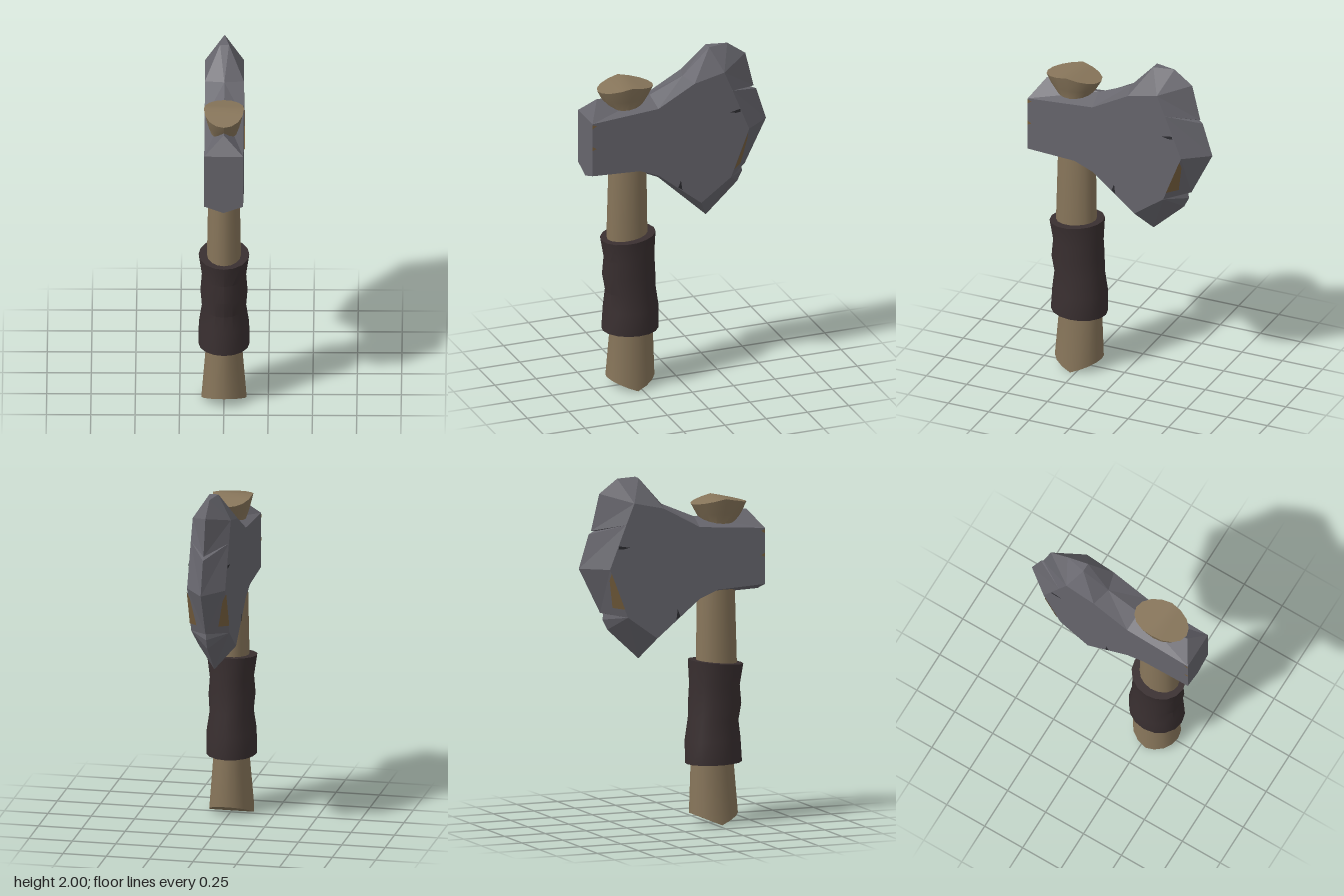
import * as THREE from 'three';
import { toCreasedNormals } from 'three/addons/utils/BufferGeometryUtils.js';

const mat = (name, color, side = THREE.FrontSide) => {
  const m = new THREE.MeshStandardMaterial({ color, side });
  m.name = name;
  return m;
};

// Stack of elliptical rings [y, centreZ, radiusX, radiusZ, roof, tilt], capped at both ends
function ringTube(rings, n = 16) {
  const pos = [], idx = [];
  for (const [y, cz, rx, rz, roof = 0, tilt = 0] of rings) {
    for (let j = 0; j < n; j++) {
      const a = (j / n) * Math.PI * 2, dz = rz * Math.sin(a);
      pos.push(rx * Math.cos(a), y + roof * Math.abs(dz) + tilt * dz, cz + dz);
    }
  }
  for (let i = 0; i < rings.length - 1; i++) {
    for (let j = 0; j < n; j++) {
      const a = i * n + j, b = i * n + ((j + 1) % n);
      idx.push(a, a + n, b, b, a + n, b + n);
    }
  }
  // caps as strips running across x, so a roofed end keeps its straight ridge
  const top = (rings.length - 1) * n;
  for (let i = -n / 4; i < n / 4; i++) {
    const p = (i + n) % n, p2 = (i + 1 + n) % n, q = n / 2 - i, q2 = n / 2 - i - 1;
    for (const [a, b, c] of [[p, q, p2], [p2, q, q2]]) {
      if (a === b || b === c || a === c) continue;
      idx.push(top + a, top + b, top + c, a, c, b);
    }
  }
  const g = new THREE.BufferGeometry();
  g.setAttribute('position', new THREE.Float32BufferAttribute(pos, 3));
  g.setIndex(idx);
  return toCreasedNormals(g, 0.5);
}

// Head outline: flat cheek point [z, y] paired with rim point [z, y, halfWidth]
const HALF = 0.11;
const OUTLINE = [
  [[0.55, 1.68], [0.48, 1.78, 0]],
  [[0.15, 1.71], [0.16, 1.755, 0]],
  [[-0.07, 1.83], [-0.04, 1.84, 0]],
  [[-0.25, 1.87], [-0.19, 2, 0.025]],
  [[-0.25, 1.87], [-0.31, 2, 0]],
  [[-0.25, 1.87], [-0.42, 1.92, 0]],
  // upper nick in the cutting edge
  [[-0.3, 1.75], [-0.47, 1.712, 0]],
  [[-0.3, 1.75], [-0.445, 1.708, 0]],
  [[-0.3, 1.75], [-0.485, 1.692, 0]],
  [[-0.4, 1.5], [-0.545, 1.5, 0]],
  // lower nick
  [[-0.29, 1.22], [-0.415, 1.24, 0]],
  [[-0.29, 1.22], [-0.395, 1.235, 0]],
  [[-0.29, 1.22], [-0.4, 1.2, 0]],
  [[-0.29, 1.22], [-0.37, 1.14, 0]],
  [[-0.11, 1.09], [-0.18, 0.965, 0]],
  [[0.15, 1.3], [0.11, 1.24, 0]],
  [[0.26, 1.345], [0.26, 1.31, 0]],
  [[0.55, 1.36], [0.55, 1.32, 0]],
  // blunt front face
  [[0.55, 1.36], [0.55, 1.36, HALF]],
  [[0.55, 1.68], [0.55, 1.68, HALF]],
];

function headGeometry() {
  const pos = [], ab = new THREE.Vector3(), ac = new THREE.Vector3();
  // adds a triangle turned so that its normal points along dir
  const tri = (a, b, c, dir) => {
    ab.subVectors(b, a).cross(ac.subVectors(c, a));
    if (ab.length() < 1e-7) return;
    for (const p of ab.dot(dir) > 0 ? [a, b, c] : [a, c, b]) pos.push(p.x, p.y, p.z);
  };
  const rim = (i, s) => {
    const [z, y, x] = OUTLINE[i][1];
    return new THREE.Vector3(s * x, y, z);
  };
  const cheek = (i, s) => new THREE.Vector3(s * HALF, OUTLINE[i][0][1], OUTLINE[i][0][0]);
  const n = OUTLINE.length, frontUp = new THREE.Vector3(0, 1, 1);
  // distinct cheek corners for the flat side
  const keep = [...Array(n).keys()].filter((i) => i < 18 && (i === 0 || cheek(i, 1).distanceTo(cheek(i - 1, 1)) > 1e-4));
  const flat = keep.map((i) => new THREE.Vector2(...OUTLINE[i][0]));
  const faces = THREE.ShapeUtils.triangulateShape(flat, []);
  for (const s of [1, -1]) {
    const out = new THREE.Vector3(s, 0, 0);
    for (const f of faces) tri(...f.map((k) => cheek(keep[k], s)), out);
    for (let i = 0; i < n; i++) {
      const j = (i + 1) % n;
      tri(cheek(i, s), rim(i, s), rim(j, s), out);
      tri(cheek(i, s), rim(j, s), cheek(j, s), out);
    }
  }
  // faces between the two rims: top flat and front
  for (let i = 0; i < n; i++) {
    const j = (i + 1) % n;
    tri(rim(i, 1), rim(i, -1), rim(j, 1), frontUp);
    tri(rim(j, 1), rim(i, -1), rim(j, -1), frontUp);
  }
  const g = new THREE.BufferGeometry();
  g.setAttribute('position', new THREE.Float32BufferAttribute(pos, 3));
  g.computeVertexNormals();
  return g;
}

// Flat convex patch through 3D points, mirrored by s
function patch(points, s) {
  const g = new THREE.BufferGeometry();
  g.setAttribute('position', new THREE.Float32BufferAttribute(points.flatMap(([x, y, z]) => [s * x, y, z]), 3));
  const idx = [];
  for (let i = 1; i < points.length - 1; i++) idx.push(...(s > 0 ? [0, i, i + 1] : [0, i + 1, i]));
  g.setIndex(idx);
  g.computeVertexNormals();
  return g;
}

export function createModel() {
  const model = new THREE.Group();
  model.name = 'axe';
  const metal = mat('metal', 0x67666d);
  const wood = mat('wood', 0x87755a);
  const leather = mat('leather', 0x392f30);
  const rust = mat('rust', 0x78603f, THREE.DoubleSide);
  const dark = mat('darkNick', 0x2c2c30, THREE.DoubleSide);
  const add = (name, geometry, material) => {
    const m = new THREE.Mesh(geometry, material);
    m.name = name;
    model.add(m);
  };

  add('handle', ringTube([
    [0, 0.28, 0.128, 0.14, 0.42],
    [0.35, 0.272, 0.1, 0.125],
    [0.92, 0.298, 0.096, 0.119],
    [1.35, 0.295, 0.088, 0.11],
    [1.7, 0.31, 0.07, 0.09],
    [1.77, 0.312, 0.094, 0.136],
    [1.86, 0.31, 0.114, 0.166, -0.21],
  ]), wood);

  add('gripWrap', ringTube([
    [0.345, 0.28, 0.144, 0.164, 0, 0.02],
    [0.48, 0.275, 0.142, 0.16, 0, 0.03],
    [0.59, 0.278, 0.125, 0.146, 0, -0.05],
    [0.69, 0.288, 0.133, 0.153, 0, -0.08],
    [0.79, 0.286, 0.125, 0.146, 0, -0.05],
    [0.92, 0.293, 0.143, 0.159, 0, -0.1],
  ]), leather);

  add('axeHead', headGeometry(), metal);

  // worn details on both cheeks
  const cheekPatch = (pts) => pts.map(([z, y]) => [HALF + 0.002, y, z]);
  const a = new THREE.Vector3(HALF, 1.5, -0.4);
  const u = new THREE.Vector3(HALF, 1.22, -0.29).sub(a);
  const v = new THREE.Vector3(0, 1.24, -0.415).sub(a);
  const bevelRust = [[0.08, 0], [0.83, 0], [0.38, 0.46], [0.06, 0.18]].map(([p, q]) => {
    const w = a.clone().addScaledVector(u, p).addScaledVector(v, q);
    return [w.x + 0.004, w.y, w.z];
  });
  for (const s of [1, -1]) {
    add('bevelRust', patch(bevelRust, s), rust);
    add('rustSpeckUpper', patch(cheekPatch([[0.55, 1.675], [0.55, 1.65], [0.525, 1.665]]), s), rust);
    add('rustSpeckLower', patch(cheekPatch([[0.55, 1.54], [0.55, 1.515], [0.525, 1.525]]), s), rust);
    add('upperNick', patch(cheekPatch([[-0.28, 1.62], [-0.345, 1.632], [-0.348, 1.614], [-0.32, 1.612]]), s), dark);
    add('lowerNick', patch(cheekPatch([[0.03, 1.208], [0.014, 1.25], [0.006, 1.19]]), s), dark);
  }
  return model;
}
